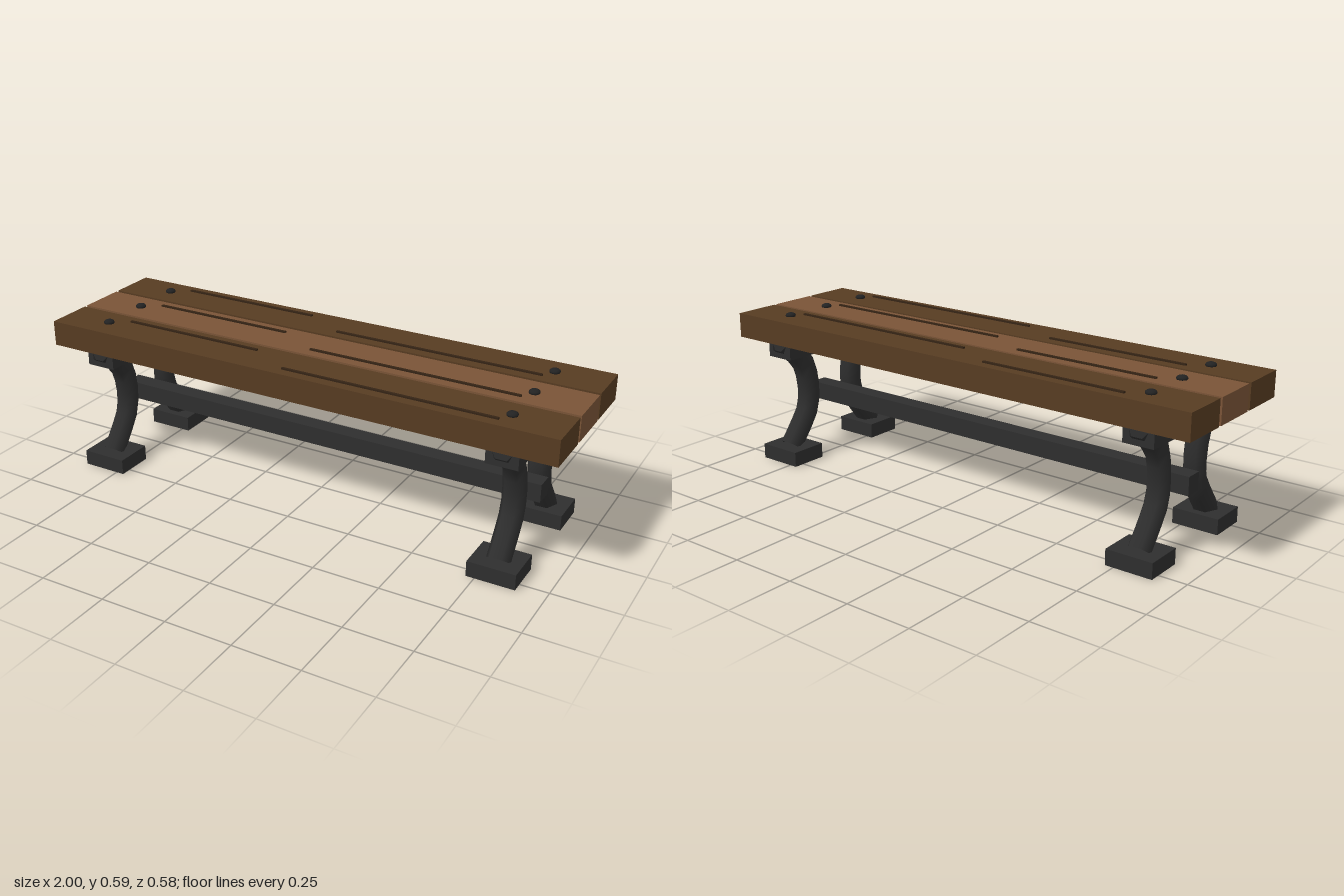
import * as THREE from 'three';

export function createModel() {
  const bench = new THREE.Group();
  bench.name = 'bench';

  const darkWood = new THREE.MeshStandardMaterial({ name: 'dark wood', color: 0x573c22 });
  const lightWood = new THREE.MeshStandardMaterial({ name: 'light wood', color: 0x7a5437 });
  const grainBrown = new THREE.MeshStandardMaterial({ name: 'grain brown', color: 0x352415 });
  const boltBlack = new THREE.MeshStandardMaterial({ name: 'bolt black', color: 0x222222 });
  // double sided because the leg tubes are open at their ends
  const iron = new THREE.MeshStandardMaterial({ name: 'iron', color: 0x2e2e2e, side: THREE.DoubleSide });

  const add = (name, geometry, material, x, y, z) => {
    const mesh = new THREE.Mesh(geometry, material);
    mesh.name = name;
    mesh.position.set(x, y, z);
    bench.add(mesh);
    return mesh;
  };
  const box = (name, material, w, h, d, x, y, z) =>
    add(name, new THREE.BoxGeometry(w, h, d), material, x, y, z);

  const frameX = 0.807;

  // seat planks with grain strips and domed bolts
  const boltGeometry = new THREE.SphereGeometry(0.02, 12, 8).scale(1, 0.55, 1);
  for (const z of [-0.195, 0, 0.195]) {
    box('plank', z === 0 ? lightWood : darkWood, 2, 0.095, 0.181, 0, 0.5295, z);
    box('grainStrip', grainBrown, 0.56, 0.008, 0.01, -0.46, 0.579, z - 0.048);
    box('grainStrip', grainBrown, 0.8, 0.008, 0.01, 0.38, 0.579, z + 0.052 - 0.004);
    for (const side of [-1, 1]) add('bolt', boltGeometry, boltBlack, side * frameX, 0.581, z);
  }

  // end frames: cross beam, curved legs and block feet
  for (const side of [-1, 1]) {
    const x = side * frameX;
    box('crossBeam', iron, 0.115, 0.062, 0.524, x, 0.453, 0);
    for (const dir of [-1, 1]) {
      const path = new THREE.CatmullRomCurve3([
        [0.226, 0.053], [0.163, 0.135], [0.132, 0.184], [0.119, 0.245],
        [0.125, 0.322], [0.14, 0.372], [0.178, 0.422], [0.252, 0.484],
      ].map(([z, y]) => new THREE.Vector3(0, y, dir * z)));
      add('leg', new THREE.TubeGeometry(path, 10, 0.044, 6), iron, x, 0, 0);
      box('foot', iron, 0.176, 0.058, 0.146, x, 0.029, dir * 0.2175);
    }
  }

  // long stretcher between the frames
  box('stretcher', iron, 1.74, 0.068, 0.066, 0, 0.229, 0);

  return bench;
}
